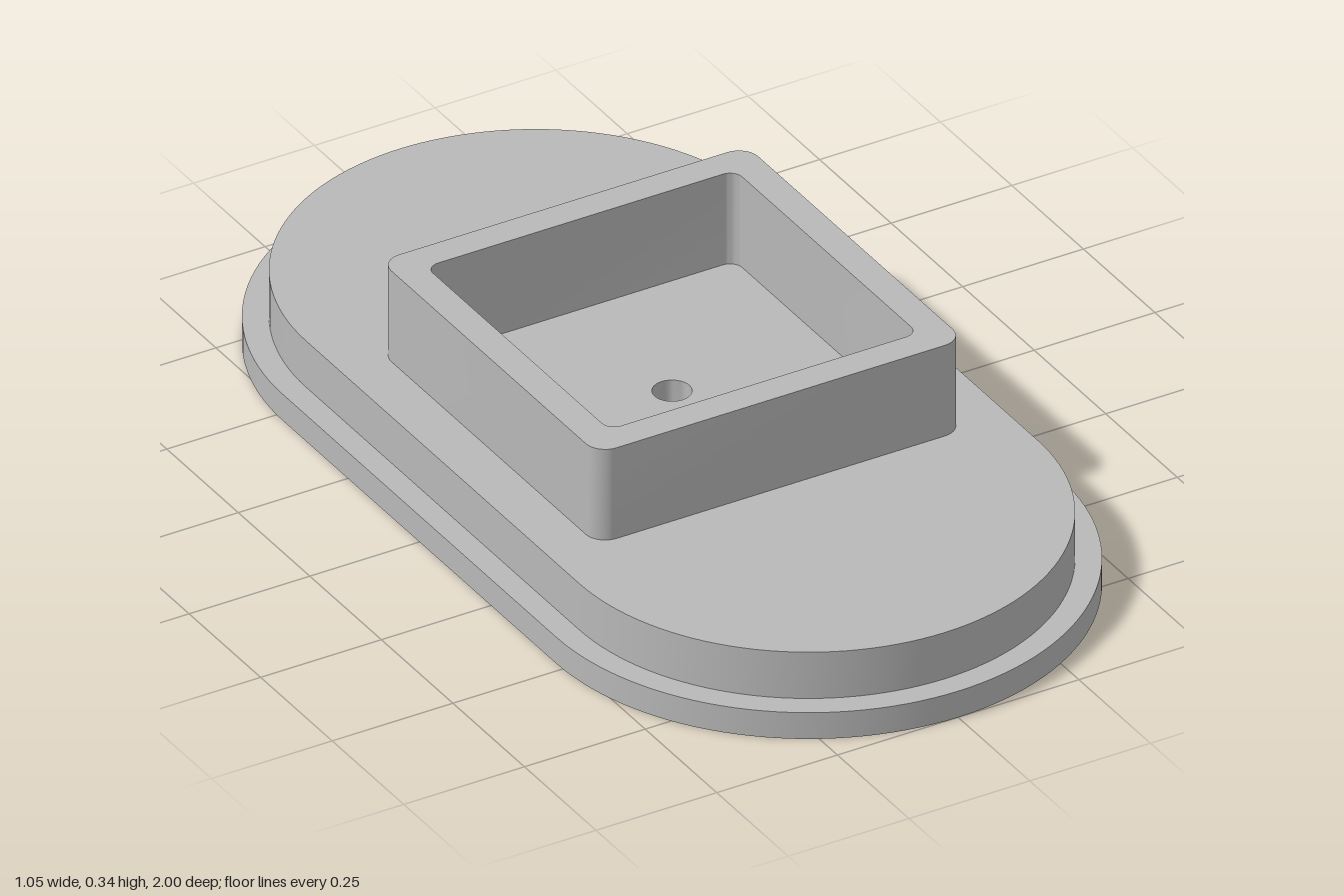
import * as THREE from 'three';
import { mergeGeometries, toCreasedNormals } from 'three/addons/utils/BufferGeometryUtils.js';

// Counter-clockwise rounded rectangle; a full radius gives a stadium or a circle
function outline(halfX, halfZ, radius, steps) {
  const points = [];
  const corners = [[1, 1], [-1, 1], [-1, -1], [1, -1]];
  corners.forEach(([sx, sz], corner) => {
    for (let i = 0; i <= steps; i++) {
      const a = (corner + i / steps) * Math.PI / 2;
      points.push(new THREE.Vector2(
        sx * (halfX - radius) + radius * Math.cos(a),
        sz * (halfZ - radius) + radius * Math.sin(a)));
    }
  });
  return points.filter((p, i) => p.distanceTo(points[(i + 1) % points.length]) > 1e-5);
}

// Upright wall along an outline, facing outward or (for holes) inward
function wall(points, y0, y1, inward = false) {
  const loop = inward ? [...points].reverse() : points;
  const pos = [];
  loop.forEach((a, i) => {
    const b = loop[(i + 1) % loop.length];
    pos.push(a.x, y0, -a.y, b.x, y0, -b.y, b.x, y1, -b.y);
    pos.push(a.x, y0, -a.y, b.x, y1, -b.y, a.x, y1, -a.y);
  });
  const geometry = new THREE.BufferGeometry();
  geometry.setAttribute('position', new THREE.Float32BufferAttribute(pos, 3));
  geometry.computeVertexNormals();
  return toCreasedNormals(geometry, 0.6);
}

// Flat face with a hole, facing up or down
function cap(points, hole, y, down = false) {
  const shape = new THREE.Shape(points);
  shape.holes.push(new THREE.Path(hole));
  const geometry = new THREE.ShapeGeometry(shape).toNonIndexed();
  geometry.deleteAttribute('uv');
  geometry.rotateX(down ? Math.PI / 2 : -Math.PI / 2);
  return geometry.translate(0, y, 0);
}

export function createModel() {
  const model = new THREE.Group();
  const grey = new THREE.MeshStandardMaterial({ color: 0xb8b8b8 });
  grey.name = 'light grey';

  const add = (name, parts) => {
    const mesh = new THREE.Mesh(mergeGeometries(parts), grey);
    mesh.name = name;
    model.add(mesh);
  };

  const flangeTop = 0.055, plateTop = 0.152, collarTop = 0.342;
  const flange = outline(0.523, 1, 0.523, 32);
  const plate = outline(0.475, 0.952, 0.475, 32);
  const collarOuter = outline(0.38, 0.38, 0.04, 8);
  const collarInner = outline(0.32, 0.32, 0.025, 8);
  const bore = outline(0.036, 0.036, 0.036, 8);

  // Wide bottom flange
  add('baseFlange', [
    wall(flange, 0, flangeTop),
    cap(flange, bore, 0, true),
    cap(flange, plate, flangeTop),
  ]);

  // Raised plate, including the floor inside the collar
  add('raisedPlate', [
    wall(plate, flangeTop, plateTop),
    cap(plate, collarOuter, plateTop),
    cap(collarInner, bore, plateTop),
  ]);

  // Square open collar
  add('squareCollar', [
    wall(collarOuter, plateTop, collarTop),
    wall(collarInner, plateTop, collarTop, true),
    cap(collarOuter, collarInner, collarTop),
  ]);

  // Through hole in the centre
  add('centreBore', [wall(bore, 0, plateTop, true)]);

  return model;
}
